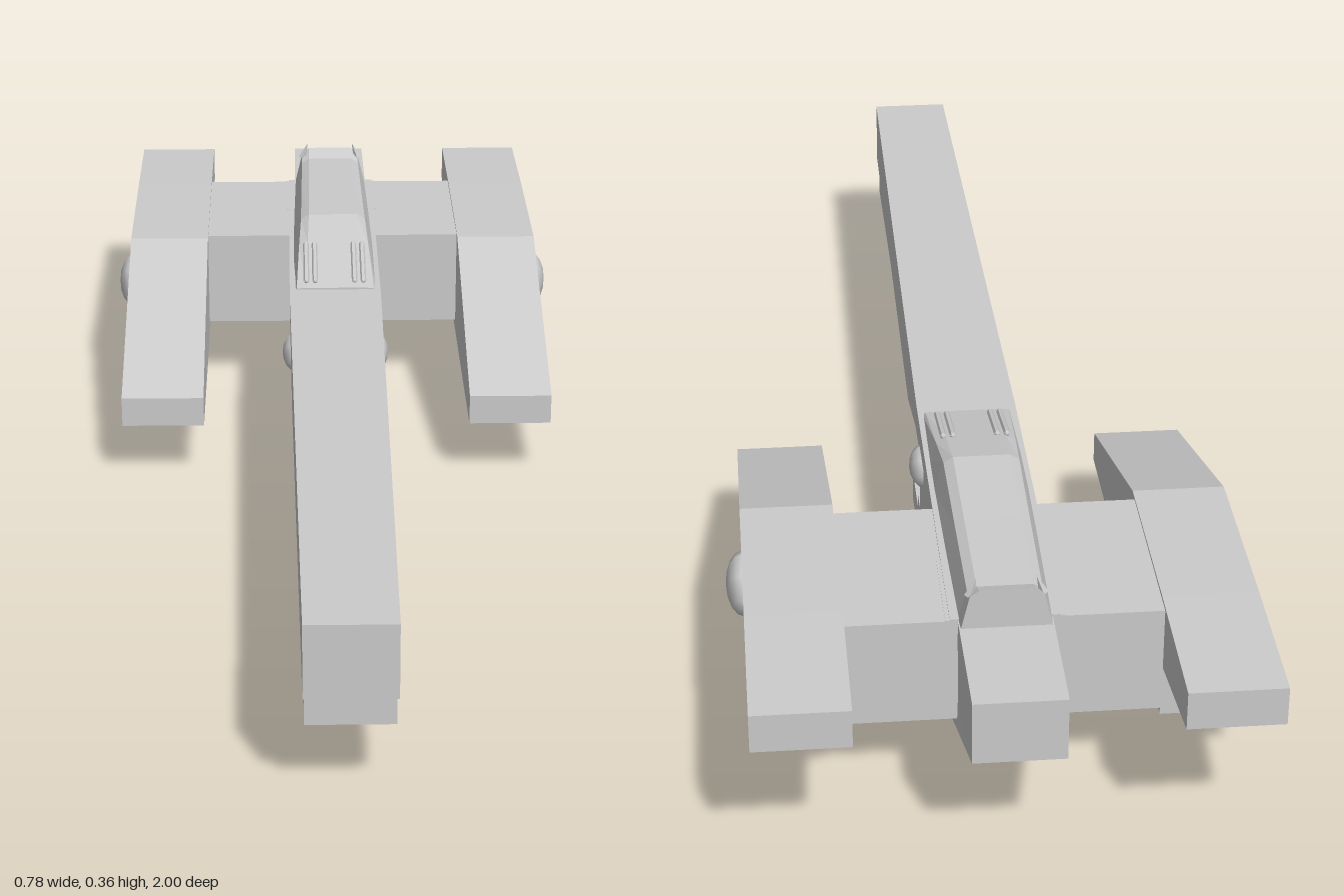
import * as THREE from 'three';

const mat = new THREE.MeshStandardMaterial({ color: 0xcccccc, flatShading: true });
const smooth = new THREE.MeshStandardMaterial({ color: 0xcccccc });

// Side profile of [z, y] points, extruded across x between x0 and x1
function slab(name, pts, x0, x1, widthAt) {
  const shape = new THREE.Shape(pts.map(p => new THREE.Vector2(p[0], p[1])));
  const g = new THREE.ExtrudeGeometry(shape, { depth: x1 - x0, bevelEnabled: false });
  g.rotateY(-Math.PI / 2);
  g.translate(x1, 0, 0);
  if (widthAt) {
    const p = g.attributes.position;
    for (let i = 0; i < p.count; i++) p.setX(i, p.getX(i) * widthAt(p.getZ(i), p.getY(i)));
    g.computeVertexNormals();
  }
  const m = new THREE.Mesh(g, mat);
  m.name = name;
  return m;
}

function box(name, x0, x1, y0, y1, z0, z1) {
  const m = new THREE.Mesh(new THREE.BoxGeometry(x1 - x0, y1 - y0, z1 - z0), mat);
  m.position.set((x0 + x1) / 2, (y0 + y1) / 2, (z0 + z1) / 2);
  m.name = name;
  return m;
}

// Low dome whose pole points outward along x
function dome(name, x, y, z, radius, height, side) {
  const g = new THREE.SphereGeometry(1, 8, 4, 0, Math.PI * 2, 0, Math.PI / 2);
  g.scale(radius, height, radius);
  g.rotateZ(-side * Math.PI / 2);
  const m = new THREE.Mesh(g, smooth);
  m.position.set(side * x, y, z);
  m.name = name;
  return m;
}

// Closed skin through cross-sections [z, bottom half width, top half width, base y, top y], front to back
function canopyGeometry(sections) {
  const pos = [], idx = [];
  for (const [z, wb, wt, yb, yt] of sections) {
    const sh = yb + (yt - yb) * 0.85;
    pos.push(-wb, yb, z, -wt, sh, z, -wt * 0.75, yt, z, wt * 0.75, yt, z, wt, sh, z, wb, yb, z);
  }
  const n = 6;
  for (let s = 0; s < sections.length - 1; s++) {
    for (let i = 0; i < n; i++) {
      const a = s * n + i, b = s * n + (i + 1) % n, c = a + n, d = b + n;
      idx.push(a, b, c, b, d, c);
    }
  }
  const last = (sections.length - 1) * n;
  for (let i = 1; i < n - 1; i++) {
    idx.push(0, i + 1, i, last, last + i, last + i + 1);
  }
  const g = new THREE.BufferGeometry();
  g.setAttribute('position', new THREE.Float32BufferAttribute(pos, 3));
  g.setIndex(idx);
  g.computeVertexNormals();
  return g;
}

export function createModel() {
  const root = new THREE.Group();
  root.name = 'spacecraft';

  // Central hull with stepped chin and raked tail
  root.add(slab('hull', [
    [0, 0], [0, 0.052], [-0.115, 0.052], [-0.115, 0.077], [-0.165, 0.077], [-0.165, 0.12],
    [-0.165, 0.284], [-1, 0.284], [-1, 0.187], [-0.57, 0],
  ], -0.071, 0.071, (z, y) => (z < -0.9 ? 0.92 : 1)));

  // Long nose beam, flaring towards the cockpit, over a narrower lower rail
  root.add(slab('noseBeam', [
    [1, 0.173], [1, 0.285], [0.4, 0.286], [-0.2, 0.287], [-0.8, 0.287],
    [-0.8, 0.268], [-0.34, 0.25], [-0.22, 0.25], [0.03, 0.173], [0.4, 0.173],
  ], -1, 1, z => THREE.MathUtils.mapLinear(Math.max(z, -0.2), 1, -0.2, 0.065, 0.078)));
  root.add(box('lowerRail', -0.063, 0.063, 0.117, 0.175, -0.3, 0.97));

  // Cross wing joining the pods
  root.add(box('crossWing', -0.23, 0.23, 0.118, 0.284, -0.8, -0.5));

  // Canopy over the rear of the beam
  const canopy = new THREE.Mesh(canopyGeometry([
    [-0.22, 0.07, 0.066, 0.284, 0.29],
    [-0.36, 0.071, 0.061, 0.284, 0.322],
    [-0.45, 0.071, 0.057, 0.284, 0.342],
    [-0.62, 0.069, 0.055, 0.284, 0.336],
    [-0.79, 0.066, 0.053, 0.284, 0.333],
    [-0.82, 0.064, 0.052, 0.284, 0.345],
  ]), mat);
  canopy.name = 'canopy';
  root.add(canopy);

  for (const s of [-1, 1]) {
    const side = s > 0 ? 'left' : 'right';
    const x0 = s > 0 ? 0.225 : -0.363, x1 = s > 0 ? 0.363 : -0.225;

    // Side pod: wedge front, stepped rear with a tapering prong
    root.add(slab(side + 'Pod', [
      [-0.07, 0.1], [-0.07, 0.15], [-0.48, 0.287], [-0.77, 0.289], [-1, 0.284],
      [-1, 0.225], [-0.79, 0.185], [-0.79, 0.1],
    ], x0, x1));
    root.add(dome(side + 'PodDome', 0.362, 0.188, -0.53, 0.05, 0.026, s));
    root.add(dome(side + 'HullDome', 0.068, 0.18, -0.2, 0.036, 0.023, s));

    // Thin trim strip beside the canopy
    root.add(box(side + 'TrimStrip', s * 0.078 - 0.006, s * 0.078 + 0.006, 0.262, 0.285, -0.8, -0.64));

    // Paired vents on the sloping windscreen
    for (const x of [0.034, 0.049]) {
      const vent = new THREE.Mesh(new THREE.CapsuleGeometry(0.005, 0.115, 3, 6), mat);
      vent.rotation.x = -Math.PI / 2 + 0.225;
      vent.position.set(s * x, 0.309, -0.295);
      vent.name = side + 'Vent';
      root.add(vent);
    }

    // Small fin at the back of the canopy
    const fin = new THREE.Mesh(new THREE.ConeGeometry(0.007, 0.03, 4), mat);
    fin.position.set(s * 0.047, 0.344, -0.808);
    fin.rotation.z = s * 0.35;
    fin.name = side + 'Fin';
    root.add(fin);
  }
  return root;
}
